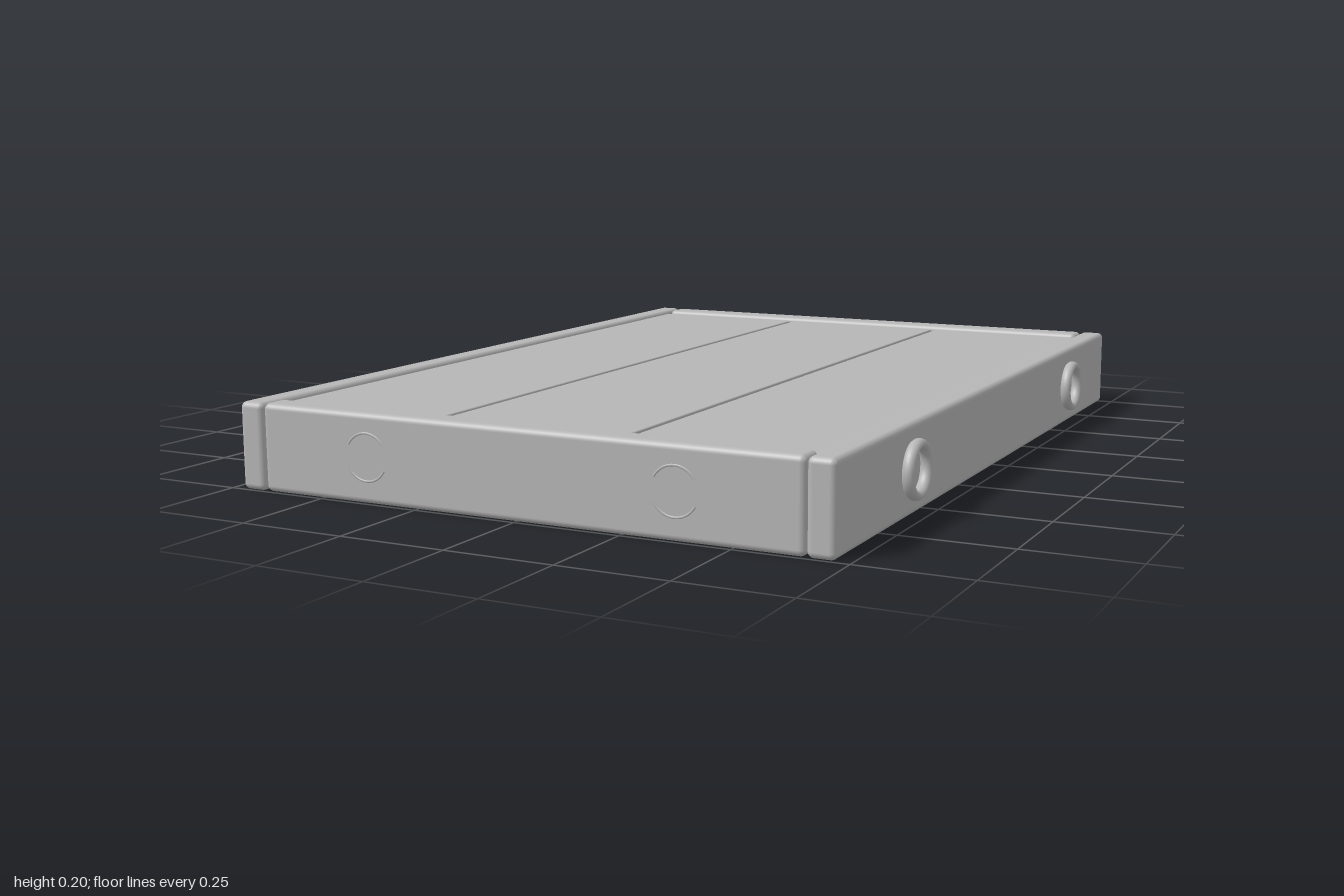
import * as THREE from 'three';
import { RoundedBoxGeometry } from 'three/addons/geometries/RoundedBoxGeometry.js';

export function createModel() {
  const group = new THREE.Group();
  const grey = new THREE.MeshStandardMaterial({ color: 0xb6b6b6 });
  grey.name = 'plain grey';

  const add = (name, geometry, x, y, z) => {
    const mesh = new THREE.Mesh(geometry, grey);
    mesh.name = name;
    mesh.position.set(x, y, z);
    group.add(mesh);
    return mesh;
  };
  // Box given by its limits, with softly rounded edges
  const slab = (name, x0, x1, y0, y1, z0, z1, r) =>
    add(name, new RoundedBoxGeometry(x1 - x0, y1 - y0, z1 - z0, 4, r),
      (x0 + x1) / 2, (y0 + y1) / 2, (z0 + z1) / 2);

  // Three deck planks with narrow gaps between them
  const edges = [-0.66, -0.23, 0.23, 0.66];
  for (let i = 0; i < 3; i++) {
    const left = edges[i] + (i > 0 ? 0.006 : 0);
    const right = edges[i + 1] - (i < 2 ? 0.006 : 0);
    slab('deckPlank', left, right, 0.04, 0.19, -0.923, 0.923, 0.004);
  }

  // Outer frame: long side rails and shorter end rails
  slab('leftRail', 0.658, 0.72, 0, 0.2, -1, 1, 0.014);
  slab('rightRail', -0.72, -0.658, 0, 0.2, -1, 1, 0.014);
  slab('frontRail', -0.656, 0.656, 0, 0.2, 0.928, 0.998, 0.014);
  slab('backRail', -0.656, 0.656, 0, 0.2, -0.998, -0.928, 0.014);

  for (const side of [-1, 1]) {
    for (const end of [-1, 1]) {
      // Handle rings standing on the side rails
      const ring = add('sideRing', new THREE.TorusGeometry(0.055, 0.011, 12, 40),
        side * 0.737, 0.105, end * 0.6);
      ring.rotation.y = Math.PI / 2;
      ring.scale.z = 1.25;

      // Sunken rings in the end rails, showing only their upper and lower arcs
      for (const turn of [0, Math.PI]) {
        const arc = add('endRingArc', new THREE.TorusGeometry(0.053, 0.003, 8, 20, 2.1),
          side * 0.375, 0.103, end * 0.997);
        arc.rotation.z = turn + (Math.PI - 2.1) / 2;
      }
    }
  }
  return group;
}
